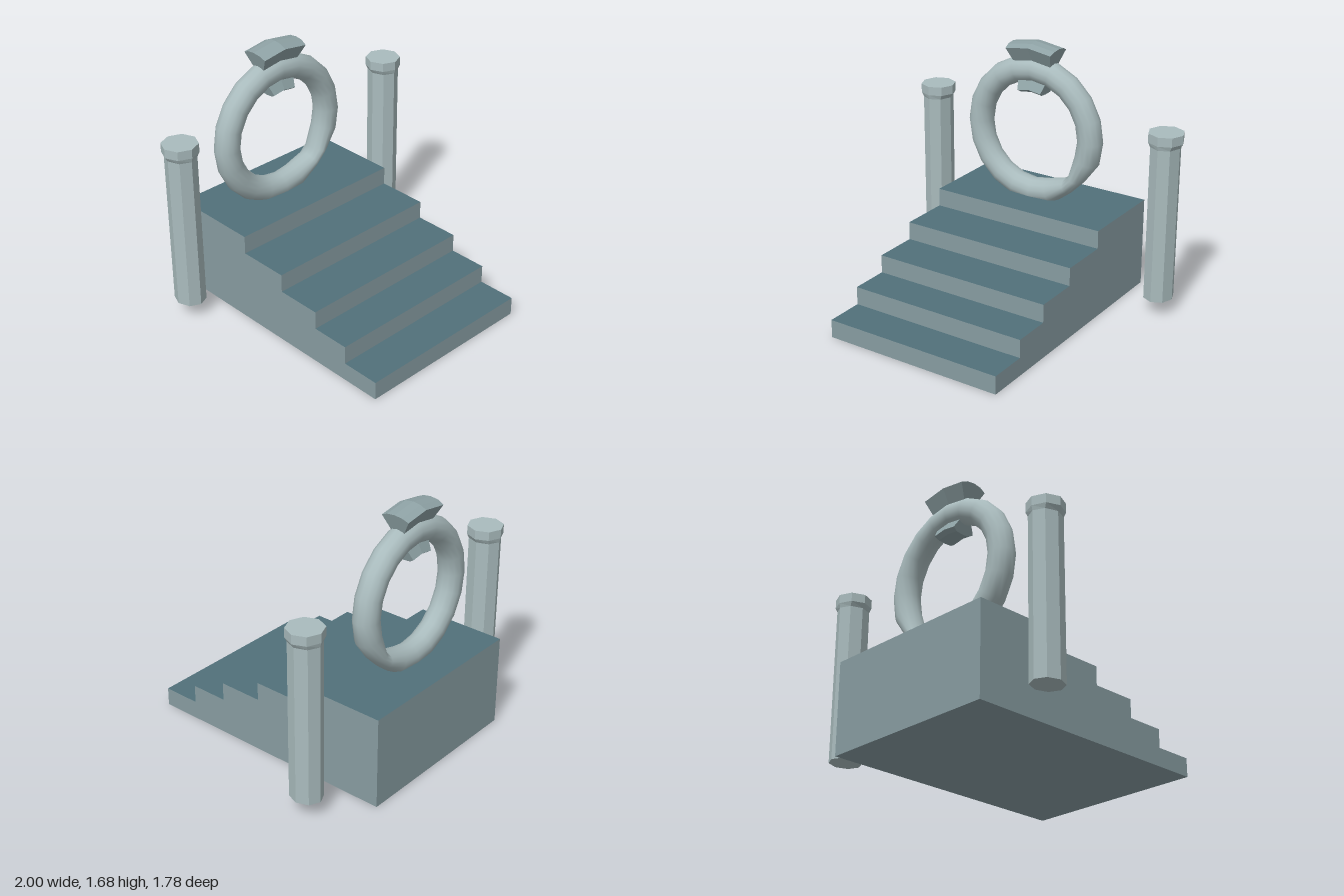
import * as THREE from 'three';
import { mergeVertices } from 'three/addons/utils/BufferGeometryUtils.js';

const stone = new THREE.MeshStandardMaterial({ color: 0xa9bbbd });
const facetedStone = new THREE.MeshStandardMaterial({ color: 0xa9bbbd, flatShading: true });
const clampStone = new THREE.MeshStandardMaterial({ color: 0x8ea2a5, flatShading: true });
const stairStone = new THREE.MeshStandardMaterial({ color: 0x879ca1 });
const treadStone = new THREE.MeshStandardMaterial({ color: 0x51707a });

function named(name, geometry, material) {
  const mesh = new THREE.Mesh(geometry, material);
  mesh.name = name;
  return mesh;
}

// Stepped profile extruded sideways, upward faces in the tread colour
function stairs() {
  const edges = [0.89, 0.63, 0.37, 0.065, -0.277, -0.89];
  const rise = 0.123;
  const shape = new THREE.Shape();
  shape.moveTo(-edges[0], 0);
  for (let i = 0; i < 5; i++) {
    shape.lineTo(-edges[i], rise * (i + 1));
    shape.lineTo(-edges[i + 1], rise * (i + 1));
  }
  shape.lineTo(-edges[5], 0);
  const geo = new THREE.ExtrudeGeometry(shape, { depth: 1.25, bevelEnabled: false });
  geo.rotateY(Math.PI / 2).translate(-0.66, 0, 0);
  geo.clearGroups();
  const normal = geo.attributes.normal;
  for (let i = 0; i < normal.count; i += 3) geo.addGroup(i, 3, normal.getY(i) > 0.5 ? 1 : 0);
  return named('stairs', geo, [stairStone, treadStone]);
}

// Twenty-sided ring with two pinched sections at the lower left
function ring() {
  const R = 0.426, r = 0.085, deg = Math.PI / 180;
  const geo = new THREE.TorusGeometry(R, r, 14, 20);
  const p = geo.attributes.position;
  for (let i = 0; i < p.count; i++) {
    let angle = Math.atan2(p.getY(i), p.getX(i)) / deg;
    const d = Math.hypot(p.getX(i), p.getY(i)) - R;
    if (Math.abs(angle + 36) < 1) angle -= 3.5 - 2.5 * d / r;
    else if (Math.abs(angle + 54) < 1) angle += 2.5 - 1.5 * d / r;
    else continue;
    const radius = 0.431 + d * 0.6;
    p.setXY(i, radius * Math.cos(angle * deg), radius * Math.sin(angle * deg));
  }
  geo.deleteAttribute('uv');
  geo.deleteAttribute('normal');
  const smooth = mergeVertices(geo, 1e-4);
  smooth.computeVertexNormals();
  return named('ring', smooth, stone);
}

// Hourglass cross-section (z, radius) bent along the top of the ring
function clamp() {
  const half = [[0.05, 0.28], [0.08, 0.3], [0.042, 0.37], [0.042, 0.48], [0.098, 0.588], [0.055, 0.608]];
  const outline = [[0, 0.276], ...half, [0, 0.615], ...half.slice().reverse().map(([z, r]) => [-z, r])];
  const shape = new THREE.Shape(outline.map(([z, r]) => new THREE.Vector2(z, r)));
  const spread = 0.295;
  const geo = new THREE.ExtrudeGeometry(shape, { depth: 2 * spread, steps: 2, bevelEnabled: false });
  const p = geo.attributes.position;
  for (let i = 0; i < p.count; i++) {
    const z = p.getX(i), r = p.getY(i), a = spread - p.getZ(i);
    p.setXYZ(i, r * Math.sin(a), r * Math.cos(a), z);
  }
  geo.computeVertexNormals();
  return named('ringClamp', geo, clampStone);
}

// Eight-sided pillar with a flared cap, the shaft slightly narrower across x
function pillar(x, name) {
  const profile = [[0, 0.108], [0.11, 0.108], [0.11, 1.16], [0.118, 1.19], [0.118, 1.25], [0, 1.25]];
  const geo = new THREE.LatheGeometry(profile.map(([r, y]) => new THREE.Vector2(r, y)), 8);
  const p = geo.attributes.position;
  for (let i = 0; i < p.count; i++) if (p.getY(i) < 1.17) p.setX(i, p.getX(i) * 0.895);
  const mesh = named(name, geo, facetedStone);
  mesh.position.set(x, 0, -0.588);
  return mesh;
}

export function createModel() {
  const model = new THREE.Group();
  model.name = 'ringPortal';

  const portal = new THREE.Group();
  portal.name = 'portal';
  portal.position.set(-0.091, 1.065, -0.587);
  portal.add(ring(), clamp());

  model.add(stairs(), portal, pillar(0.88, 'leftPillar'), pillar(-0.88, 'rightPillar'));
  return model;
}
